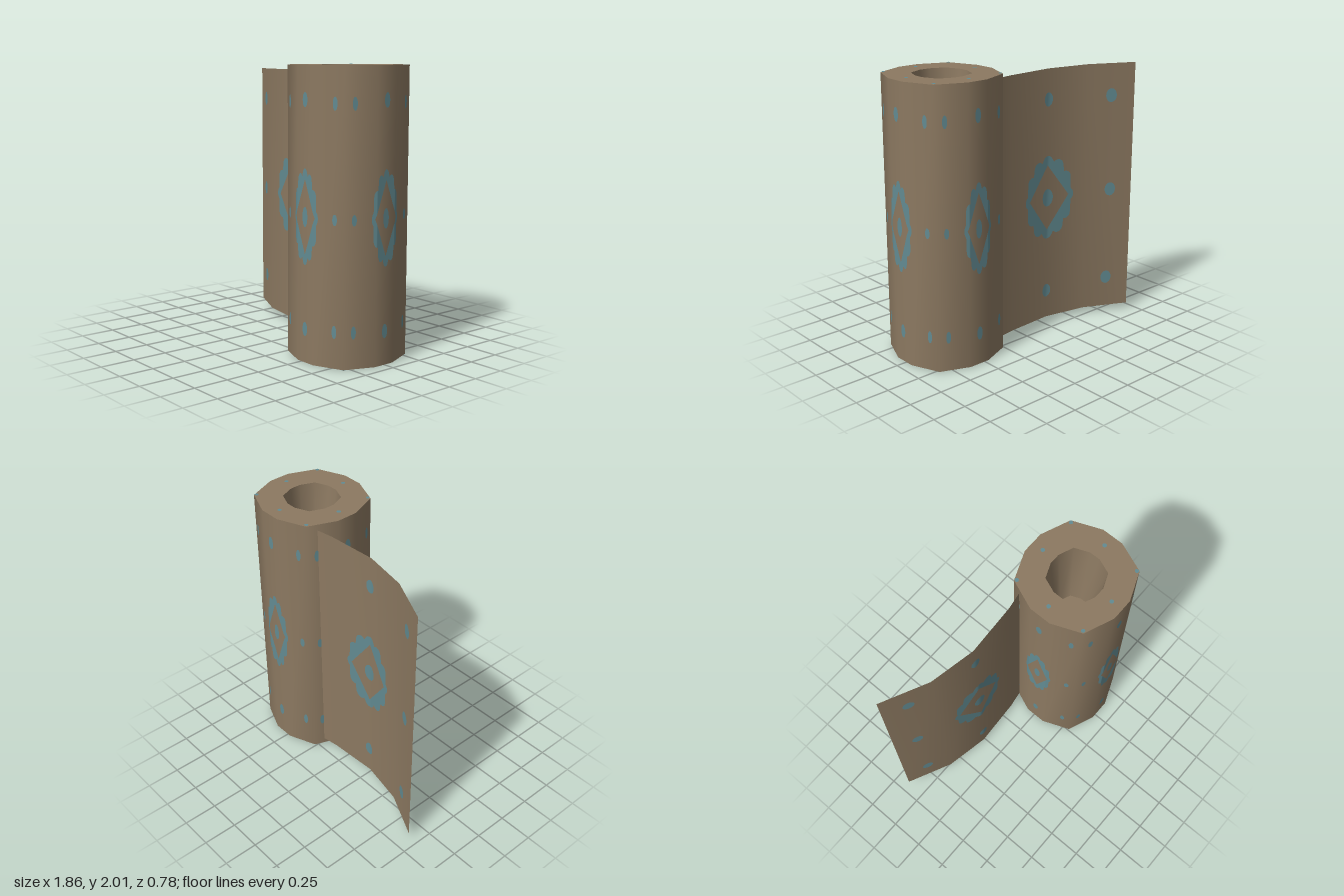
import * as THREE from 'three';
import { mergeGeometries } from 'three/addons/utils/BufferGeometryUtils.js';

const CX = 0.55, CZ = 0.013; // roll axis
const HOLE_DEPTH = 0.6;

// Surface between consecutive rows of [x, y, z] points
function loft(rows, closed) {
  const n = rows[0].length, index = [];
  for (let r = 0; r < rows.length - 1; r++) {
    for (let i = 0; i < (closed ? n : n - 1); i++) {
      const j = (i + 1) % n, a = r * n, b = a + n;
      index.push(a + i, a + j, b + j, a + i, b + j, b + i);
    }
  }
  const geo = new THREE.BufferGeometry();
  geo.setAttribute('position', new THREE.Float32BufferAttribute(rows.flat(2), 3));
  geo.setIndex(index);
  geo.computeVertexNormals();
  return geo;
}

// Filled band between two height curves, placed on a surface by map(u, v)
function band(cx, cy, halfW, lo, hi, map, n) {
  const us = Array.from({ length: n + 1 }, (_, i) => -halfW * Math.cos(Math.PI * i / n));
  return loft([lo, hi].map(f => us.map(u => map(cx + u, cy + f(u)))), false);
}

const arc = (u, c, w, h) => h * Math.sqrt(Math.max(0, 1 - ((u - c) / w) ** 2));

function dot(cx, cy, w, h, map) {
  return band(cx, cy, w, u => -arc(u, 0, w, h), u => arc(u, 0, w, h), map, 8);
}

// Scalloped oval with a diamond window and a centre dot
function medallion(cx, cy, w, h, map) {
  const diamond = u => Math.max(0, 0.78 * h * (1 - Math.abs(u) / (0.81 * w)));
  const outer = u => {
    let top = arc(u, 0, 0.84 * w, 0.86 * h);
    for (let k = 0; k < 7; k++) {
      const t = k * Math.PI / 6, c = -0.79 * w * Math.cos(t);
      if (Math.abs(u - c) < 0.21 * w) top = Math.max(top, 0.84 * h * Math.sin(t) + arc(u, c, 0.21 * w, 0.16 * h));
    }
    return top;
  };
  return [
    band(cx, cy, w, diamond, outer, map, 64),
    band(cx, cy, w, u => -outer(u), u => -diamond(u), map, 64),
    dot(cx, cy, 0.22 * w, 0.21 * h, map),
  ];
}

export function createModel() {
  const group = new THREE.Group();
  const paper = new THREE.MeshStandardMaterial({ color: 0x8c7961, side: THREE.DoubleSide });
  paper.name = 'brownPaper';
  const paint = new THREE.MeshStandardMaterial({ color: 0x628b92, side: THREE.DoubleSide });
  paint.name = 'tealPaint';
  const add = (name, geos, mat) => {
    const mesh = new THREE.Mesh(mergeGeometries(geos), mat);
    mesh.name = name;
    group.add(mesh);
  };

  // One quarter of the roll, turned about its axis
  const turn = (u, v, k) => {
    for (let i = 0; i < k; i++) [u, v] = [v, -u];
    return [u, v];
  };
  const outline = [];
  for (let k = 0; k < 4; k++) {
    for (const [u, v] of [[-0.08, 0.375], [0.08, 0.375], [0.29, 0.29]]) outline.push(turn(u, v, k));
  }

  // Roll body: blind tapered holes, end rings and outer wall
  const ring = (s, y) => outline.map(([x, z]) => [CX + x * s, y, CZ + z * s]);
  const rings = [
    ring(0, HOLE_DEPTH), ring(0.35, HOLE_DEPTH), ring(0.5, 0), ring(1, 0),
    ring(1, 2), ring(0.5, 2), ring(0.35, 2 - HOLE_DEPTH), ring(0, 2 - HOLE_DEPTH),
  ];
  const names = ['lowerHoleFloor', 'lowerHoleWall', 'lowerEnd', 'rollWall', 'upperEnd', 'upperHoleWall', 'upperHoleFloor'];
  names.forEach((name, i) => add(name, [loft([rings[i], rings[i + 1]], true)], paper));

  // Painted pattern on the four sides of the roll
  const rollPaint = [];
  for (let k = 0; k < 4; k++) {
    const onRoll = (u, y) => {
      const v = 0.379 - Math.max(0, Math.abs(u) - 0.08) * (0.085 / 0.21);
      const [x, z] = turn(u, v, k);
      return [CX + x, y, CZ + z];
    };
    rollPaint.push(...medallion(0, 1, 0.115, 0.325, onRoll));
    for (const y of [0.235, 1.775]) rollPaint.push(dot(0, y, 0.024, 0.05, onRoll));
    for (const u of [-0.228, 0.228]) {
      for (const y of [0.25, 1, 1.755]) rollPaint.push(dot(u, y, 0.016, y === 1 ? 0.038 : 0.045, onRoll));
    }
  }
  add('rollPattern', rollPaint, paint);

  // Painted pattern on the ends and hole floors
  const endPaint = [];
  for (const up of [1, -1]) {
    const flat = depth => (u, v) => [CX + u, up > 0 ? 2 - depth + 0.004 : depth - 0.004, CZ - v * up];
    endPaint.push(...medallion(0, 0, 0.085, 0.085, flat(HOLE_DEPTH)));
    for (let k = 0; k < 4; k++) {
      const [x, z] = turn(0, 0.288, k), [cx, cz] = turn(0.277, 0.277, k);
      endPaint.push(dot(x, z, 0.015, 0.015, flat(0)), dot(cx, cz, 0.014, 0.014, flat(0)));
    }
  }
  add('endPattern', endPaint, paint);

  // Unrolled sheet, curving backwards away from the roll
  const path = [[-0.93, -0.39], [-0.6, -0.23], [-0.27, -0.165], [0.1, -0.185], [0.228, -0.205]];
  const sheet = [0.045, 1.957].map(y => path.map(([x, z]) => [x, y, z]));
  add('sheet', [loft(sheet, false)], paper);

  // Painted pattern on both faces of the sheet
  const sheetZ = x => {
    let i = 0;
    while (i < path.length - 2 && x > path[i + 1][0]) i++;
    const [[x0, z0], [x1, z1]] = [path[i], path[i + 1]];
    return z0 + (z1 - z0) * (x - x0) / (x1 - x0);
  };
  const sheetPaint = [];
  for (const side of [1, -1]) {
    // Mirror u about the pattern centre so the back face winds outwards
    const onSheet = c => (u, y) => {
      const x = c + side * u;
      return [x, y, sheetZ(x) + side * 0.005];
    };
    sheetPaint.push(...medallion(0, 1, 0.225, 0.318, onSheet(-0.265)));
    for (const [x, y] of [[-0.765, 1.72], [-0.265, 1.735], [-0.775, 1], [-0.265, 0.265], [-0.765, 0.285]]) {
      sheetPaint.push(dot(0, y, 0.038, 0.052, onSheet(x)));
    }
  }
  add('sheetPattern', sheetPaint, paint);

  return group;
}
